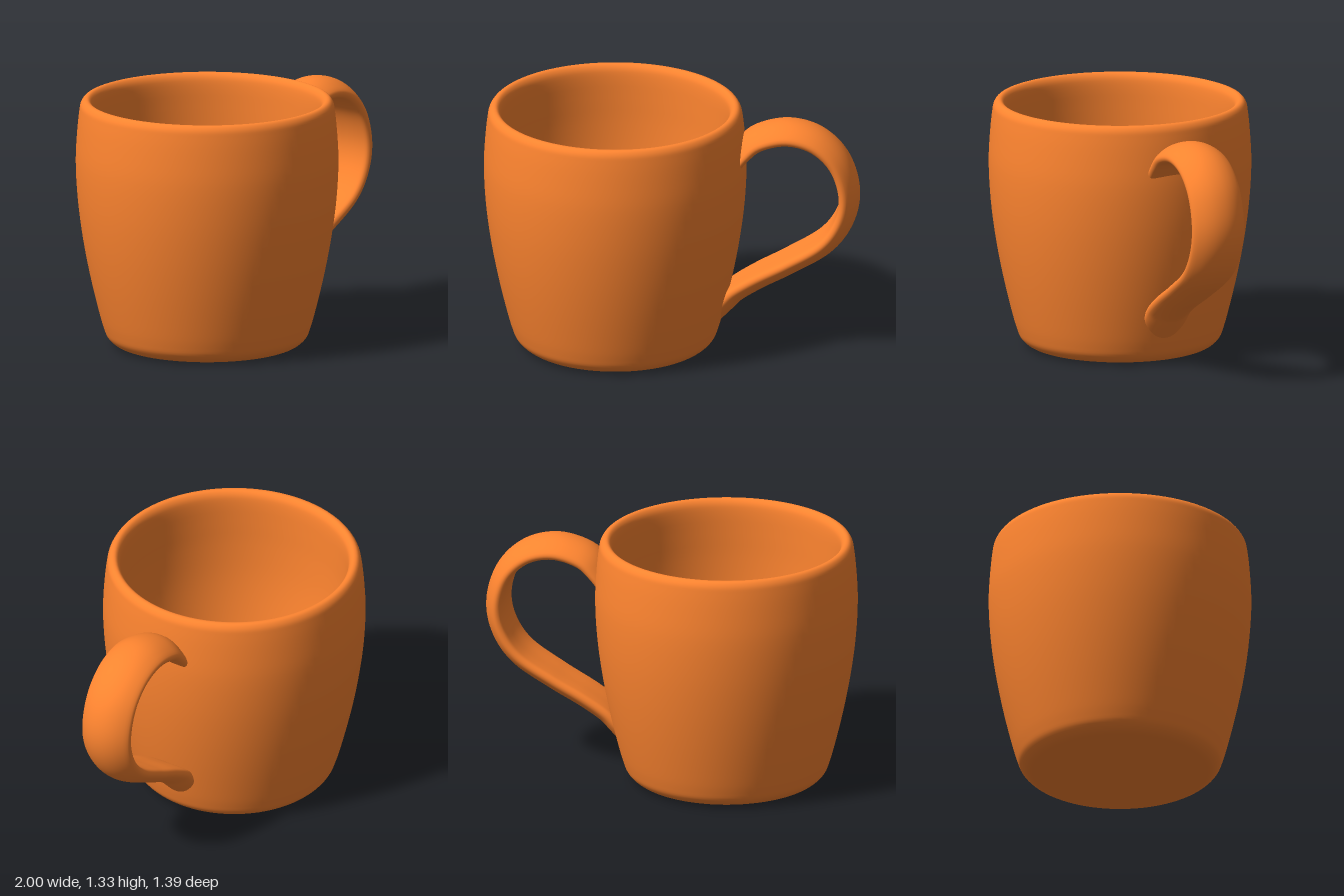
import * as THREE from 'three';

const glaze = new THREE.MeshStandardMaterial({ color: 0xff8530 });
const v2 = ([x, y]) => new THREE.Vector2(x, y);
const v3 = ([x, y]) => new THREE.Vector3(x, y, 0);
const { smoothstep } = THREE.MathUtils;

// Cup: one closed profile, from the underside centre over the rim to the floor centre
function cupGeometry() {
  const profile = new THREE.CatmullRomCurve3([
    [0, 0.02], [0.2, 0.02], [0.31, 0.02], [0.34, 0.017], [0.39, 0.006],
    [0.43, 0.002], [0.49, 0.015], [0.53, 0.05], [0.55, 0.1], [0.578, 0.2],
    [0.625, 0.4], [0.662, 0.6], [0.687, 0.8], [0.697, 1.0], [0.69, 1.15],
    [0.678, 1.27], [0.67, 1.31], [0.652, 1.332], [0.63, 1.333], [0.612, 1.312],
    [0.604, 1.27], [0.602, 1.15], [0.602, 1.0], [0.593, 0.8], [0.568, 0.6],
    [0.53, 0.4], [0.472, 0.2], [0.445, 0.13], [0.425, 0.106], [0.39, 0.1],
    [0.2, 0.1], [0, 0.1],
  ].map(v3)).getPoints(124).map((p) => new THREE.Vector2(Math.max(p.x, 0), p.y));
  return new THREE.LatheGeometry(profile, 96);
}

// Handle: a strap, flat inside and domed outside, swept along its inner line
function handleGeometry() {
  const path = new THREE.SplineCurve([
    [0.375, 1.045], [0.42, 1.098], [0.49, 1.155], [0.62, 1.185], [0.75, 1.15],
    [0.85, 1.05], [0.895, 0.9], [0.87, 0.76], [0.78, 0.635], [0.6, 0.522],
    [0.44, 0.435], [0.315, 0.355], [0.25, 0.29], [0.187, 0.225],
  ].map(v2));
  const half = [[0.1, 0], [0.138, 0.006], [0.15, 0.025], [0.144, 0.045], [0.1, 0.079], [0.05, 0.099]];
  const mirrored = half.map(([z, d]) => [-z, d]).reverse();
  const section = new THREE.CatmullRomCurve3(
    [[0, 0], ...half, [0, 0.105], ...mirrored].map(v3), true).getPoints(56);
  const steps = 90, ring = section.length;
  const positions = [], indices = [];
  for (let i = 0; i <= steps; i++) {
    const t = i / steps;
    const p = path.getPointAt(t), d = path.getTangentAt(t);
    const width = 1 - 0.15 * smoothstep(t, 0.5, 1);
    const depth = 0.85 + 0.15 * smoothstep(t, 0, 0.08);
    for (const s of section) {
      // outward normal of the clockwise path is (-dy, dx)
      positions.push(p.x - d.y * s.y * depth, p.y + d.x * s.y * depth, s.x * width);
    }
  }
  for (let i = 0; i < steps; i++) {
    for (let j = 0; j < ring - 1; j++) {
      // the last column wraps onto the first, so normals stay smooth
      const k = (j + 1) % (ring - 1);
      const a = i * ring + j, b = i * ring + k;
      indices.push(a, a + ring, b, b, a + ring, b + ring);
    }
  }
  const geometry = new THREE.BufferGeometry();
  geometry.setAttribute('position', new THREE.Float32BufferAttribute(positions, 3));
  geometry.setIndex(indices);
  geometry.computeVertexNormals();
  return geometry;
}

export function createModel() {
  const mug = new THREE.Group();
  mug.name = 'mug';

  const cup = new THREE.Mesh(cupGeometry(), glaze);
  cup.name = 'cup';
  cup.position.x = -0.303;

  // The ends of the strap are buried in the cup wall
  const handle = new THREE.Mesh(handleGeometry(), glaze);
  handle.name = 'handle';

  mug.add(cup, handle);
  return mug;
}
